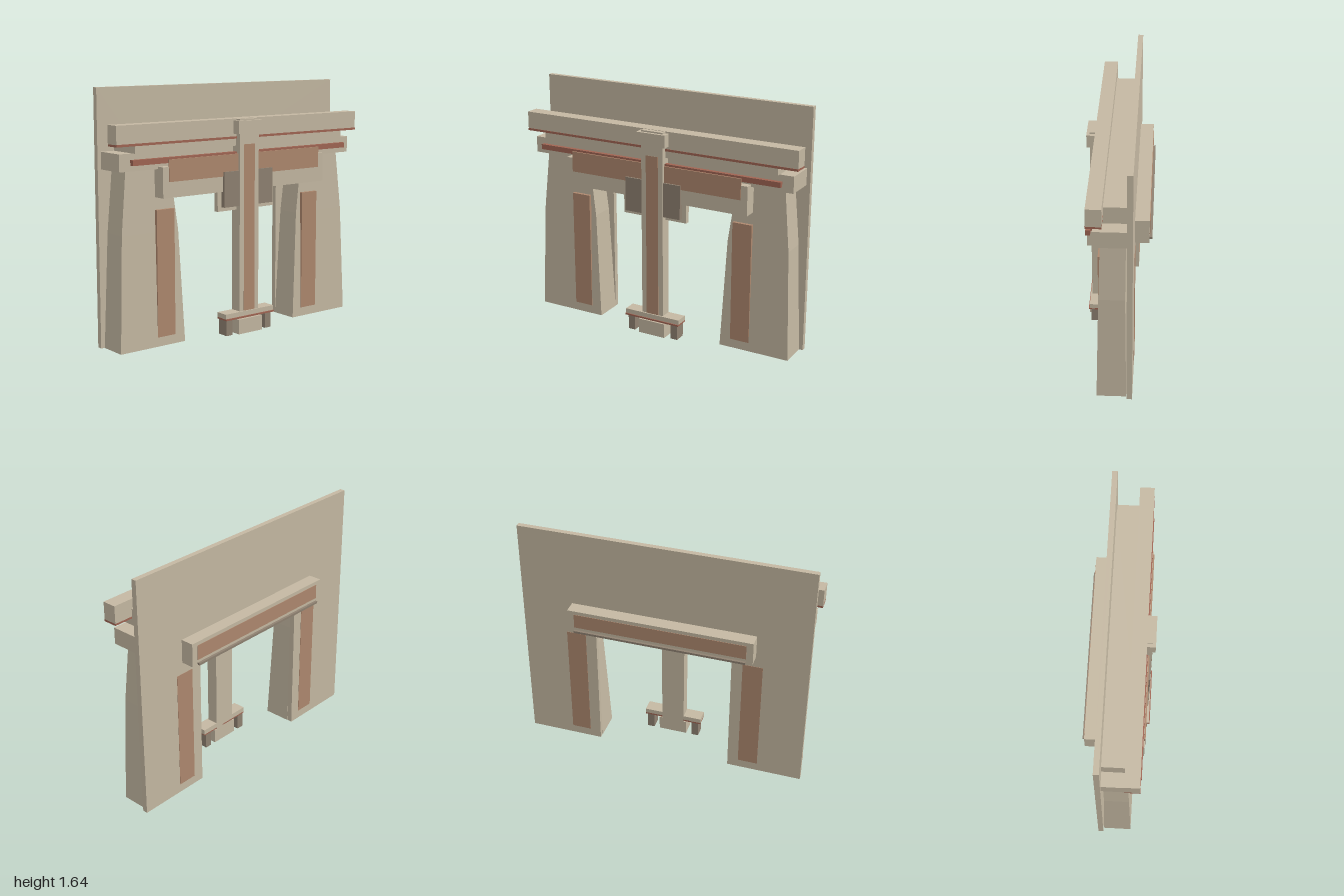
import * as THREE from 'three';

const mat = (color) => new THREE.MeshStandardMaterial({ color, flatShading: true, side: THREE.DoubleSide });

export function createModel() {
  const root = new THREE.Group();
  const stone = mat(0xc4b8a2), red = mat(0xae886e), rust = mat(0xa06553), dark = mat(0x8f8171);

  // Box given by its limits on each axis
  const box = (name, x0, x1, y0, y1, z0, z1, material = stone) => {
    const mesh = new THREE.Mesh(new THREE.BoxGeometry(x1 - x0, y1 - y0, z1 - z0), material);
    mesh.position.set((x0 + x1) / 2, (y0 + y1) / 2, (z0 + z1) / 2);
    mesh.name = name;
    root.add(mesh);
    return mesh;
  };
  // Box centred on x = 0
  const wide = (name, half, ...rest) => box(name, -half, half, ...rest);
  // Mirrored pair of boxes
  const pair = (name, x0, x1, ...rest) => {
    box(name + 'Left', x0, x1, ...rest);
    box(name + 'Right', -x1, -x0, ...rest);
  };

  // Back wall with a doorway open to the ground
  const outline = new THREE.Shape([
    [-0.985, 0], [-0.47, 0], [-0.47, 0.96], [0.47, 0.96], [0.47, 0],
    [0.985, 0], [0.985, 1.645], [-0.985, 1.645],
  ].map(([x, y]) => new THREE.Vector2(x, y)));
  const wallGeometry = new THREE.ExtrudeGeometry(outline, { depth: 0.035, bevelEnabled: false });
  const wall = new THREE.Mesh(wallGeometry, stone);
  wall.position.z = -0.11;
  wall.name = 'backWall';
  root.add(wall);

  // Tapering towers: a box whose three rings follow [y, inner x, outer x, back z, front z]
  const rings = [
    [0, 0.468, 0.96, -0.072, 0.117],
    [0.74, 0.505, 0.93, -0.063, 0.1],
    [1.14, 0.56, 0.89, -0.066, 0.088],
  ];
  for (const side of [1, -1]) {
    const geometry = new THREE.BoxGeometry(2, 2, 2, 1, 2, 1);
    const p = geometry.attributes.position;
    for (let i = 0; i < p.count; i++) {
      const [y, inner, outer, back, front] = rings[Math.round(p.getY(i)) + 1];
      const x = p.getX(i) * side > 0 ? outer : inner;
      p.setXYZ(i, x * side, y, p.getZ(i) > 0 ? front : back);
    }
    geometry.computeVertexNormals();
    const tower = new THREE.Mesh(geometry, stone);
    tower.name = side > 0 ? 'towerLeft' : 'towerRight';
    root.add(tower);
  }
  pair('towerFrontPanel', 0.545, 0.68, 0.06, 0.88, 0.09, 0.118, red);
  pair('towerBackPanel', 0.545, 0.68, 0.06, 0.88, -0.112, -0.1, red);

  // Stacked beams across the top
  wide('lowerBeam', 0.96, 1.14, 1.25, -0.075, 0.13);
  wide('middleBeam', 0.865, 1.25, 1.36, -0.075, 0.16);
  wide('topRail', 1, 1.31, 1.427, 0.07, 0.165);
  wide('topRailTrim', 1, 1.297, 1.312, 0.07, 0.168, rust);
  wide('beamRail', 0.89, 1.178, 1.213, 0.145, 0.173, rust);
  wide('beamRailBracket', 0.85, 1.185, 1.205, 0.125, 0.15, rust);

  // Lintel over the doorway
  wide('lintel', 0.675, 0.96, 1.155, -0.075, 0.182);
  wide('lintelPanel', 0.63, 1.06, 1.2, 0.175, 0.185, red);
  wide('backLintel', 0.63, 0.96, 1.12, -0.2, -0.075);
  wide('backLintelPanel', 0.585, 0.995, 1.095, -0.203, -0.19, red);
  wide('backLintelStrip', 0.585, 0.96, 0.975, -0.217, -0.195, dark);

  // Carriage behind the column
  wide('carriageBack', 0.235, 0.83, 0.97, 0.13, 0.165);
  wide('carriageFront', 0.205, 0.858, 1.09, 0.165, 0.197, dark);

  // Central column with its cap and inlay
  wide('column', 0.08, 0, 1.425, 0.12, 0.2);
  wide('columnInlay', 0.045, 0.15, 1.26, 0.19, 0.202, red);
  wide('columnCap', 0.105, 1.33, 1.415, 0.16, 0.22);

  // Foot of the column
  wide('footPlate', 0.205, 0.115, 0.15, 0.12, 0.21);
  wide('footPlateTrim', 0.205, 0.107, 0.118, 0.12, 0.217, rust);
  wide('footBlock', 0.1, 0, 0.1, 0.12, 0.217);
  pair('footPeg', 0.14, 0.19, 0, 0.11, 0.12, 0.2, dark);

  return root;
}
